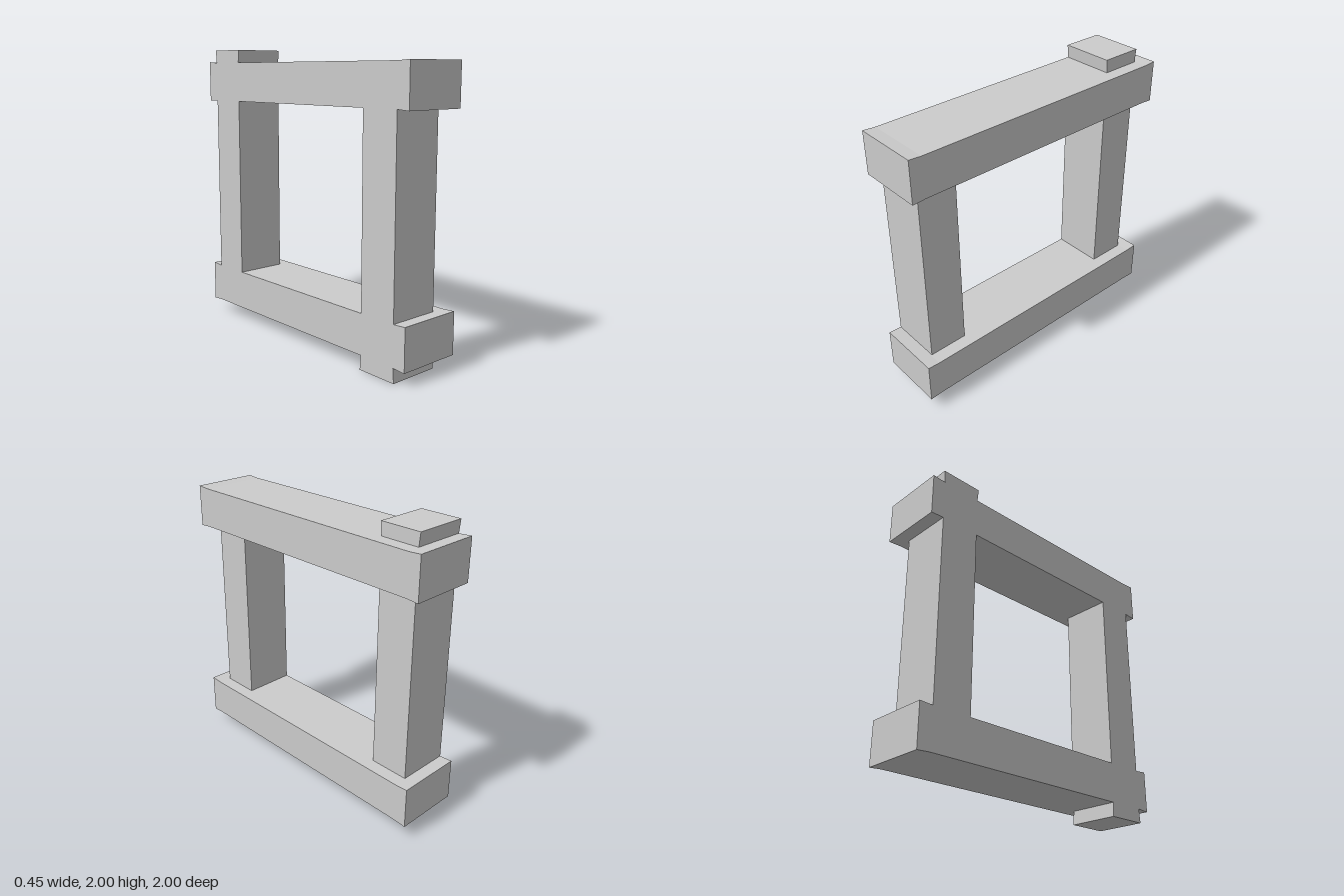
import * as THREE from 'three';

const BACK = -0.227;        // flush side shared by every bar
const BEAM_FACE = 0.225;    // beams are deeper than the posts
const POST_FACE = 0.133;

const material = new THREE.MeshStandardMaterial({ color: 0xcccccc, flatShading: true });

// Extrudes a side profile of [z, y] points along x, from the flush side to the given face.
function bar(name, points, face) {
  const shape = new THREE.Shape(points.map(([z, y]) => new THREE.Vector2(z, y)));
  const geometry = new THREE.ExtrudeGeometry(shape, { depth: face - BACK, bevelEnabled: false });
  geometry.rotateY(-Math.PI / 2).translate(face, 0, 0);
  const mesh = new THREE.Mesh(geometry, material);
  mesh.name = name;
  return mesh;
}

// Horizontal beam with slightly flared ends.
function beam(name, y) {
  const h = 0.137, flare = 0.143, z = 0.915;
  return bar(name, [
    [-1, y - flare], [-z, y - h], [z, y - h], [1, y - flare],
    [1, y + flare], [z, y + h], [-z, y + h], [-1, y + flare],
  ], BEAM_FACE);
}

// Vertical piece that may widen from bottom to top.
function upright(name, z, y0, y1, half0, half1) {
  return bar(name, [
    [z - half0, y0], [z + half0, y0], [z + half1, y1], [z - half1, y1],
  ], POST_FACE);
}

export function createModel() {
  const model = new THREE.Group();
  model.name = 'squareFrame';

  const lowY = 0.234, highY = 1.774, h = 0.137, postZ = 0.771, half = 0.137;
  model.add(beam('lowerBeam', lowY), beam('upperBeam', highY));

  // Posts between the beams
  model.add(upright('frontPost', postZ, lowY + h, highY - h, half, half));
  model.add(upright('backPost', -postZ, lowY + h, highY - h, half, half));

  // Flared post ends that pass through the beams
  model.add(upright('frontPostFoot', postZ, 0, lowY - h, 0.145, half));
  model.add(upright('backPostCap', -postZ, highY + h, 2, half, 0.145));

  return model;
}
